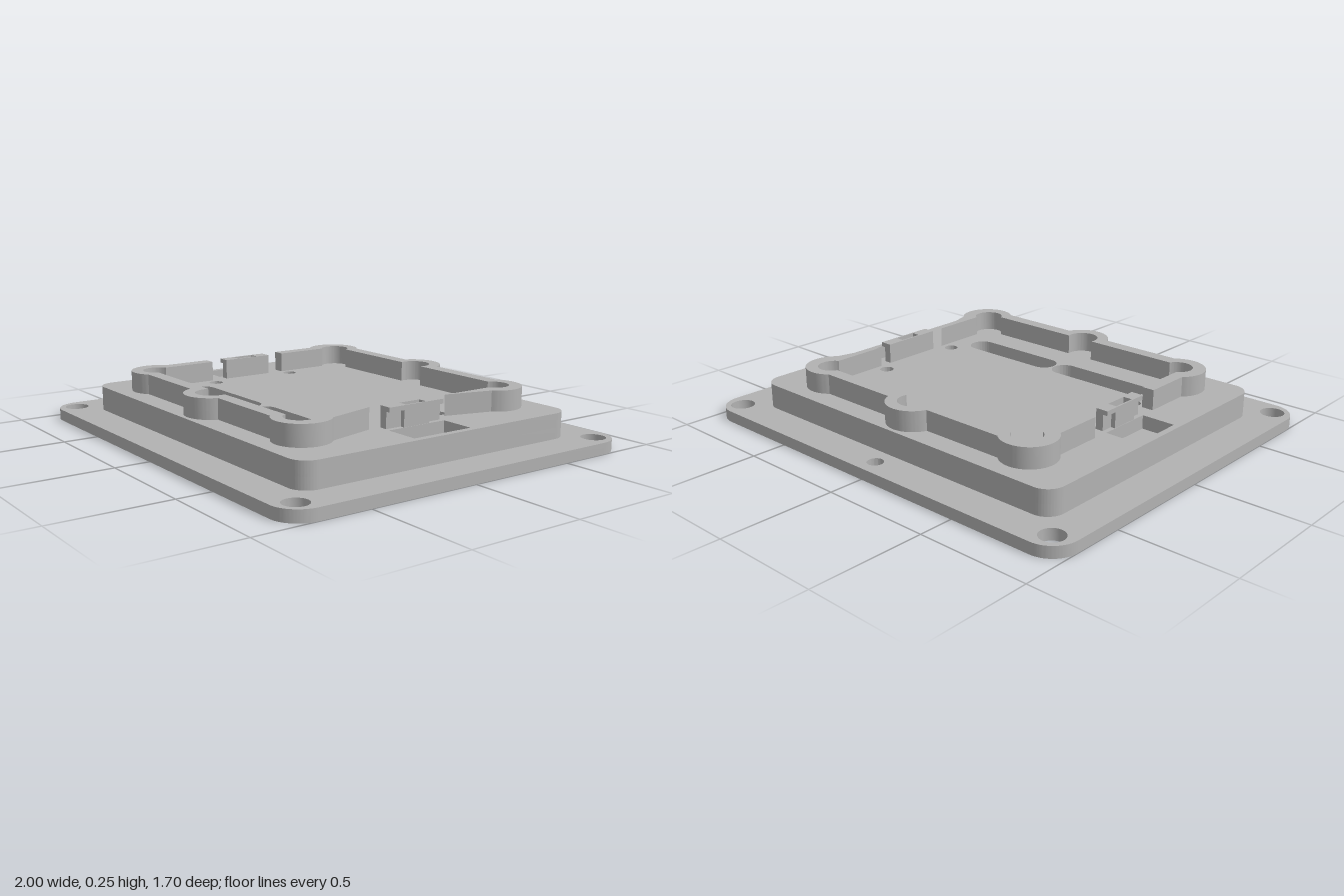
import * as THREE from 'three';
import { toCreasedNormals } from 'three/addons/utils/BufferGeometryUtils.js';

const grey = new THREE.MeshStandardMaterial({ color: 0xb2b2b2 });
grey.name = 'plain grey';

// Plan outlines use x and z
function trace(ctx, x0, x1, z0, z1, r = 0) {
  if (!r) {
    ctx.moveTo(x0, z0).lineTo(x1, z0).lineTo(x1, z1).lineTo(x0, z1).closePath();
    return ctx;
  }
  const q = Math.PI / 2;
  ctx.absarc(x1 - r, z0 + r, r, -q, 0);
  ctx.absarc(x1 - r, z1 - r, r, 0, q);
  ctx.absarc(x0 + r, z1 - r, r, q, 2 * q);
  ctx.absarc(x0 + r, z0 + r, r, 2 * q, 3 * q);
  ctx.closePath();
  return ctx;
}
const plate = (...a) => trace(new THREE.Shape(), ...a);
const cut = (...a) => trace(new THREE.Path(), ...a);
const drill = (x, z, r) => new THREE.Path().absarc(x, z, r, 0, Math.PI * 2);

// Vertical extrusion of a plan outline between two heights
function slab(name, shape, y0, y1, holes = []) {
  shape.holes.push(...holes);
  const g = new THREE.ExtrudeGeometry(shape, { depth: y1 - y0, bevelEnabled: false, curveSegments: 20 });
  g.rotateX(Math.PI / 2).translate(0, y1, 0);
  const mesh = new THREE.Mesh(toCreasedNormals(g, 0.5), grey);
  mesh.name = name;
  return mesh;
}

// Half of the raised rim, with round lobes at the corners and middle
function rimShape(s) {
  const P = Math.PI, end = 0.197, shape = new THREE.Shape();
  const arc = (x, z, r, a, b, cw) => shape.absarc(x, z * s, r, a * s, b * s, s > 0 ? cw : !cw);
  shape.moveTo(0.655, end * s);
  arc(0.575, 0.5, 0.12, -0.841, 2.294, false);
  arc(0, 0.55, 0.12, 0.34, P - 0.34, false);
  arc(-0.575, 0.5, 0.12, 0.848, P + 0.841, false);
  shape.lineTo(-0.655, end * s);
  shape.lineTo(-0.6, end * s);
  arc(-0.57, 0.505, 0.065, P + 1.0915, 0.395, true);
  arc(0, 0.55, 0.07, P + 0.29, -0.29, true);
  arc(0.57, 0.505, 0.065, P - 0.395, -1.0915, true);
  shape.lineTo(0.6, end * s);
  shape.closePath();
  return shape;
}

// Small latch block with recessed outer feet and a slot in its top
function latch(name, side, half) {
  const g = new THREE.Group();
  g.name = name;
  const box = (a, b, z0, z1) => plate(Math.min(a * side, b * side), Math.max(a * side, b * side), z0, z1);
  const slot = () => cut(side > 0 ? 0.608 : -0.648, side > 0 ? 0.648 : -0.608, -0.052, 0.052);
  g.add(slab('latchCore', box(0.6, 0.655, -0.065, 0.065), 0.16, 0.23, [slot()]));
  for (const s of [-1, 1]) {
    const z = [0.065 * s, half * s].sort((a, b) => a - b);
    g.add(slab('latchFoot', box(0.6, 0.635, ...z), 0.16, 0.23));
  }
  g.add(slab('latchCap', box(0.6, 0.655, -half, half), 0.23, 0.25, [slot()]));
  return g;
}

export function createModel() {
  const model = new THREE.Group();
  model.name = 'mountingPlate';

  // Openings that run through the full thickness
  const through = () => {
    const list = [];
    for (const s of [-1, 1]) {
      list.push(drill(0.752 * s, 0, 0.014));
      list.push(drill(0.065 * s, 0.34, 0.017), drill(0.457 * s, 0.34, 0.017));
      list.push(cut(0.26 * s - 0.16, 0.26 * s + 0.16, 0.29, 0.39, 0.0499));
    }
    return list;
  };

  // Base flange with mounting holes
  const mounts = [drill(0, -0.77, 0.035)];
  for (const x of [-0.91, 0.91]) for (const z of [-0.76, 0.76]) mounts.push(drill(x, z, 0.053));
  model.add(slab('baseFlange', plate(-1, 1, -0.848, 0.848, 0.12), 0, 0.05, [...mounts, ...through()]));

  // Raised deck: solid floor, then a layer with pockets
  const deck = () => plate(-0.838, 0.838, -0.688, 0.688, 0.08);
  model.add(slab('deckFloor', deck(), 0.05, 0.1, through()));
  const pockets = [cut(-0.81, -0.657, -0.125, 0.125), cut(0.657, 0.81, -0.145, 0.145)];
  for (const s of [-1, 1]) {
    pockets.push(cut(0.26 * s - 0.256, 0.26 * s + 0.256, 0.28, 0.4, 0.0599));
    for (const z of [-0.21, 0.21]) pockets.push(drill(0.548 * s, z, 0.031));
  }
  model.add(slab('deckTop', deck(), 0.1, 0.16, pockets));

  // Rim halves and side latches
  model.add(slab('frontRim', rimShape(1), 0.16, 0.25));
  model.add(slab('backRim', rimShape(-1), 0.16, 0.25));
  model.add(latch('leftLatch', 1, 0.14), latch('rightLatch', -1, 0.12));
  return model;
}
